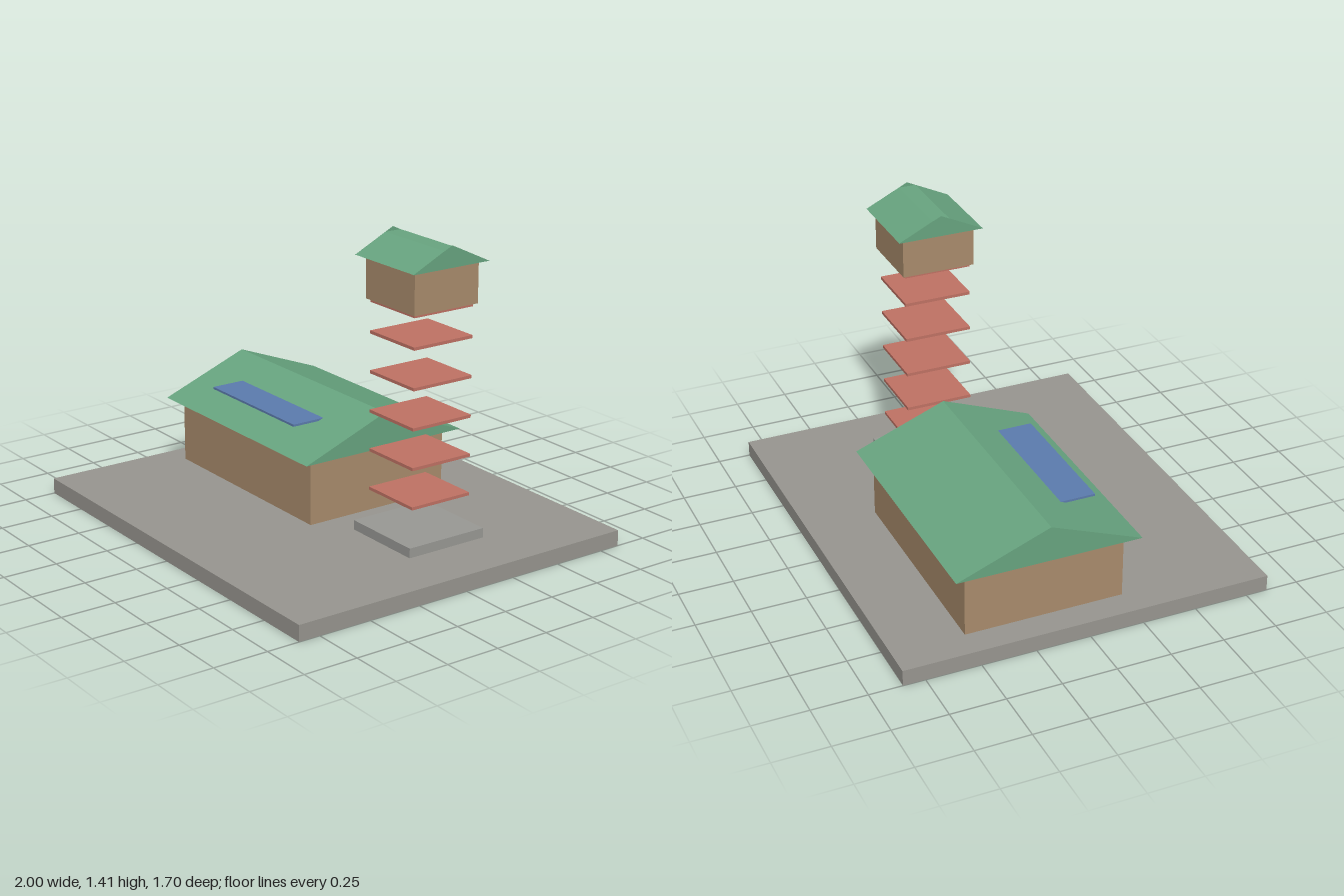
import * as THREE from 'three';

const mat = (name, color) => {
  const m = new THREE.MeshStandardMaterial({ color });
  m.name = name;
  return m;
};

export function createModel() {
  const stone = mat('stone grey', 0x989690);
  const padGrey = mat('pad grey', 0x999995);
  const wood = mat('wall tan', 0xa98c6c);
  const green = mat('roof green', 0x68a580);
  const brick = mat('deck red', 0xc07264);
  const blue = mat('panel blue', 0x5c7cae);
  const gableGreen = green.clone();
  gableGreen.name = 'gable green';
  gableGreen.side = THREE.DoubleSide;

  const model = new THREE.Group();
  const add = (name, geometry, material, parent = model) => {
    const mesh = new THREE.Mesh(geometry, material);
    mesh.name = name;
    parent.add(mesh);
    return mesh;
  };

  // Box given by its lower and upper corner
  const box = (name, material, [x0, y0, z0], [x1, y1, z1], parent) => {
    const mesh = add(name, new THREE.BoxGeometry(x1 - x0, y1 - y0, z1 - z0), material, parent);
    mesh.position.set((x0 + x1) / 2, (y0 + y1) / 2, (z0 + z1) / 2);
    return mesh;
  };

  // Profile of [z, y] points
  const profile = (points) => new THREE.Shape(points.map(([z, y]) => new THREE.Vector2(-z, y)));

  // Roof body: profile swept along x
  const roof = (name, points, x0, x1, parent) => {
    const geometry = new THREE.ExtrudeGeometry(profile(points), { depth: x1 - x0, bevelEnabled: false });
    geometry.rotateY(Math.PI / 2).translate(x0, 0, 0);
    return add(name, geometry, green, parent);
  };

  // Ground slab
  box('base', stone, [-1, 0, -0.85], [1, 0.073, 0.85]);

  // Long house with a gabled roof and a level panel set into its front slope
  const house = new THREE.Group();
  house.name = 'house';
  model.add(house);
  box('houseWalls', wood, [-0.87, 0.073, -0.52], [0.17, 0.379, 0.21], house);
  roof('houseRoof', [[0.27, 0.377], [-0.155, 0.54], [-0.58, 0.377]], -0.925, 0.225, house);
  box('roofPanel', blue, [-0.675, 0.468, -0.02], [-0.02, 0.478, 0.168], house);

  // Tower: pad, stacked decks, cabin and roof
  const tower = new THREE.Group();
  tower.name = 'tower';
  model.add(tower);
  box('towerPad', padGrey, [0.32, 0.073, -0.315], [0.72, 0.117, 0.085], tower);
  for (const y of [0.272, 0.449, 0.626, 0.803, 0.98, 1.12]) {
    box('deck', brick, [0.37, y - 0.007, -0.27], [0.675, y + 0.007, 0.04], tower);
  }
  box('cabinWalls', wood, [0.355, 1.127, -0.283], [0.69, 1.314, 0.053], tower);
  roof('cabinRoof', [[0.083, 1.314], [-0.075, 1.39], [-0.155, 1.39], [-0.313, 1.314]], 0.32, 0.72, tower);

  // Pointed gable faces closing both ends of the cabin roof
  for (const x of [0.319, 0.721]) {
    const gable = new THREE.ShapeGeometry(profile([[0.085, 1.313], [-0.115, 1.409], [-0.315, 1.313]]));
    gable.rotateY(Math.PI / 2).translate(x, 0, 0);
    add('cabinGable', gable, gableGreen, tower);
  }

  return model;
}
